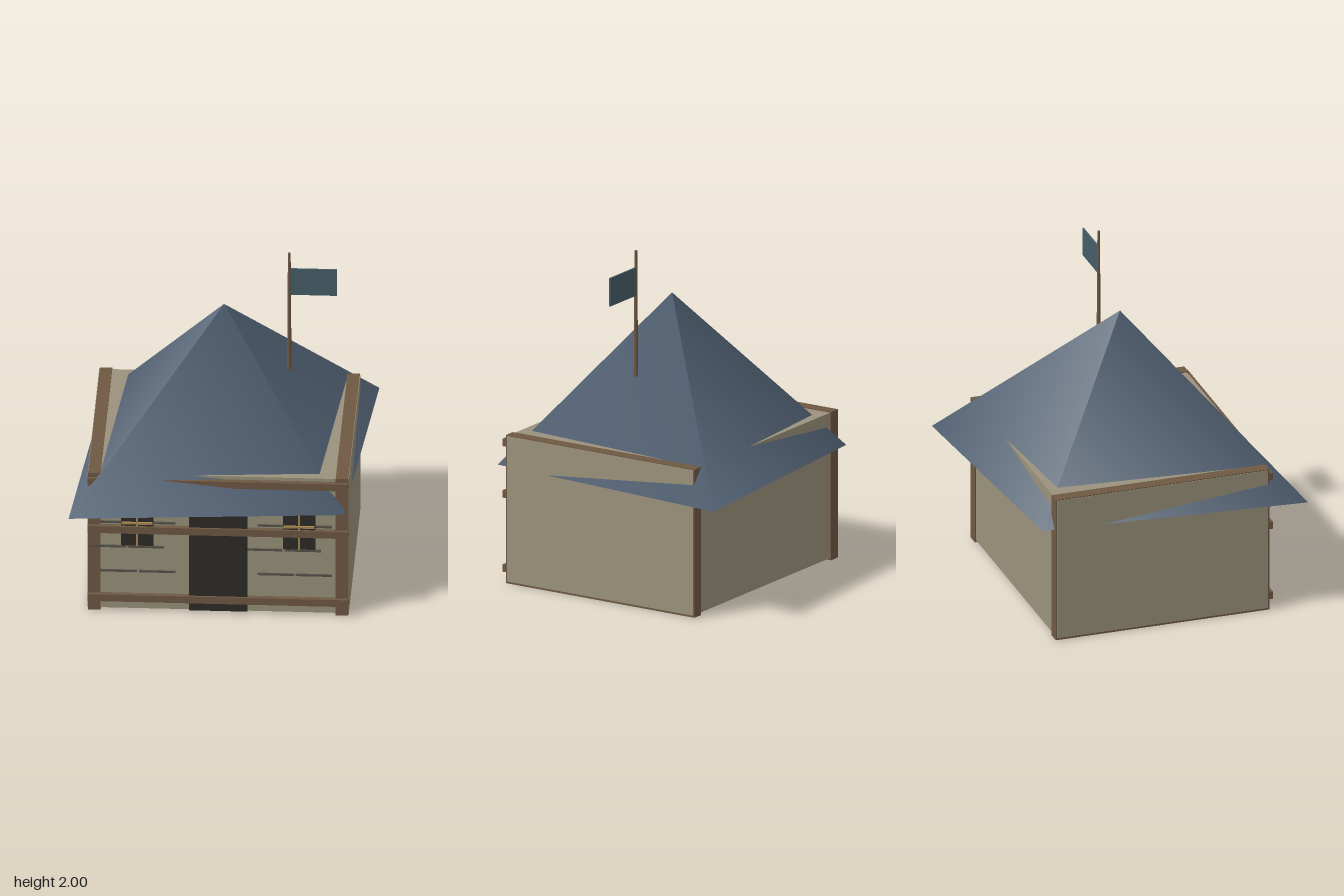
import * as THREE from 'three';

const mat = (color) => new THREE.MeshStandardMaterial({ color });

export function createModel() {
  const house = new THREE.Group();
  house.name = 'house';
  const plaster = mat(0x9a927c), wood = mat(0x6f5843), dark = mat(0x2d2b26);
  const slate = mat(0x4f5e70), groove = mat(0x55524a), brass = mat(0xa8894f), cloth = mat(0x465d68);

  const add = (name, geometry, material, x, y, z) => {
    const mesh = new THREE.Mesh(geometry, material);
    mesh.name = name;
    mesh.position.set(x, y, z);
    house.add(mesh);
    return mesh;
  };
  // Box given by its lower and upper limits on each axis
  const box = (name, material, [x0, x1], [y0, y1], [z0, z1]) =>
    add(name, new THREE.BoxGeometry(x1 - x0, y1 - y0, z1 - z0), material,
      (x0 + x1) / 2, (y0 + y1) / 2, (z0 + z1) / 2);

  // Plastered body
  box('walls', plaster, [-0.75, 0.75], [0.012, 0.88], [-0.64, 0.64]);

  // Deep corner frames that run from front to back
  for (const s of [-1, 1]) {
    const x = s * 0.711;
    box('cornerFrame', wood, [x - 0.036, x + 0.036], [0, 0.885], [-0.648, 0.648]);
  }

  // Horizontal beams across the front
  for (const y of [0.088, 0.53, 0.838])
    box('frontBeam', wood, [-0.75, 0.75], [y - 0.022, y + 0.022], [0.64, 0.67]);

  box('door', dark, [-0.168, 0.168], [0.015, 0.65], [0.63, 0.658]);

  // Windows with glazing bars
  for (const s of [-1, 1]) {
    const x = s * 0.465;
    box('window', dark, [x - 0.093, x + 0.093], [0.425, 0.715], [0.63, 0.656]);
    box('windowUpright', brass, [x - 0.006, x + 0.006], [0.43, 0.71], [0.65, 0.668]);
    box('windowCrossbar', brass, [x - 0.09, x + 0.09], [0.567, 0.579], [0.65, 0.668]);
  }

  // Short joints in the plaster, every other row shifted
  for (const [y, shift] of [[0.255, 0], [0.413, -0.065], [0.57, 0]])
    for (const x of [-0.57, -0.35, 0.33, 0.55])
      box('wallJoint', groove, [x + shift - 0.105, x + shift + 0.105], [y - 0.006, y + 0.006], [0.63, 0.65]);

  // Four-sided roof on a diamond-stretched base
  const roof = new THREE.ConeGeometry(1, 0.97, 4);
  roof.scale(1.02, 1, 1.2);
  roof.rotateY(-Math.PI / 4);
  add('roof', roof, slate, 0, 0.69 + 0.97 / 2, 0);

  // Flag on its pole
  add('flagPole', new THREE.CylinderGeometry(0.008, 0.013, 0.75, 8), wood, 0.375, 1.625, 0);
  box('flag', cloth, [0.38, 0.648], [1.732, 1.9], [-0.005, 0.005]);

  return house;
}
